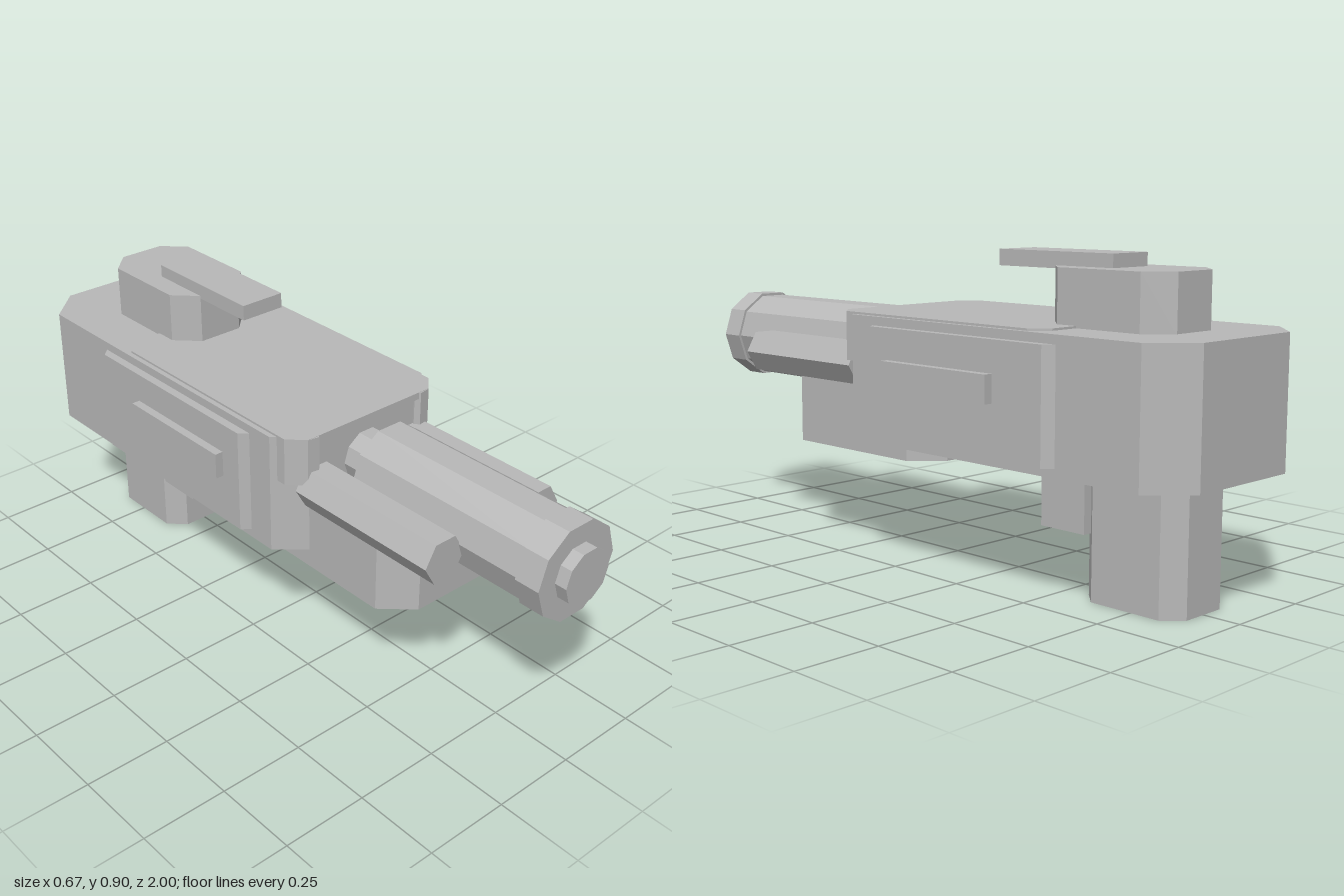
import * as THREE from 'three';

const grey = new THREE.MeshStandardMaterial({ color: 0xb8b8b8, flatShading: true });
grey.name = 'plain grey';

// upright prism from a plan outline of [x, z] points
function prism(name, points, y0, y1) {
  const shape = new THREE.Shape(points.map(([x, z]) => new THREE.Vector2(x, -z)));
  const geo = new THREE.ExtrudeGeometry(shape, { depth: y1 - y0, bevelEnabled: false });
  geo.rotateX(-Math.PI / 2).translate(0, y0, 0);
  const mesh = new THREE.Mesh(geo, grey);
  mesh.name = name;
  return mesh;
}

// symmetric prism whose corners are cut: w = half width, back/front = [z, half width of end, cut depth]
function slab(name, w, [zb, wb, cb], [zf, wf, cf], y0, y1) {
  const right = [[wb, zb], [w, zb + cb], [w, zf - cf], [wf, zf]];
  const left = right.map(([x, z]) => [-x, z]).reverse();
  return prism(name, [...right, ...left], y0, y1);
}

function box(name, x0, x1, y0, y1, z0, z1) {
  const mesh = new THREE.Mesh(new THREE.BoxGeometry(x1 - x0, y1 - y0, z1 - z0), grey);
  mesh.position.set((x0 + x1) / 2, (y0 + y1) / 2, (z0 + z1) / 2);
  mesh.name = name;
  return mesh;
}

// faceted tube along z with a flat facet on top
function tube(name, x, y, r, sides, z0, z1) {
  const geo = new THREE.CylinderGeometry(r, r, z1 - z0, sides);
  geo.rotateY(Math.PI / 2).rotateX(Math.PI / 2);
  const mesh = new THREE.Mesh(geo, grey);
  mesh.position.set(x, y, (z0 + z1) / 2);
  mesh.name = name;
  return mesh;
}

export function createModel() {
  const model = new THREE.Group();
  model.name = 'blaster';

  // housing and thin top cover
  model.add(
    slab('body', 0.285, [-1, 0.18, 0.1], [0.21, 0.2, 0.074], 0.355, 0.715),
    slab('topCover', 0.27, [-0.57, 0.225, 0.045], [0.225, 0.225, 0.045], 0.7, 0.721),
    slab('lowerBlock', 0.205, [-0.08, 0.12, 0.08], [0.555, 0.12, 0.08], 0.3, 0.5)
  );

  // handle, trigger block and rear sight
  model.add(
    slab('grip', 0.12, [-0.89, 0.07, 0.05], [-0.57, 0.07, 0.05], 0, 0.37),
    box('triggerBlock', -0.128, 0.128, 0.178, 0.37, -0.6, -0.45),
    slab('sightBase', 0.135, [-0.84, 0.07, 0.065], [-0.44, 0.07, 0.065], 0.71, 0.868),
    box('sightRail', -0.07, 0.07, 0.86, 0.905, -0.635, -0.235)
  );

  // main barrel
  model.add(
    tube('barrelCore', 0, 0.587, 0.08, 10, 0.18, 1),
    tube('barrel', 0, 0.587, 0.132, 10, 0.3, 0.9),
    tube('muzzleRing', 0, 0.587, 0.14, 10, 0.89, 0.965)
  );

  // paired side parts
  for (const s of [-1, 1]) {
    const side = new THREE.Group();
    side.name = s > 0 ? 'leftSide' : 'rightSide';
    const flip = (pts) => pts.map(([x, z]) => [s * x, z]);
    side.add(
      tube('sideBarrel', s * 0.18, 0.56, 0.068, 6, 0.2, 0.695),
      prism('sidePanel', flip([[0.27, -0.635], [0.285, -0.635], [0.31, -0.61], [0.31, 0.03], [0.285, 0.05], [0.27, 0.05]]), 0.38, 0.69),
      box('sideRib', s > 0 ? 0.3 : -0.335, s > 0 ? 0.335 : -0.3, 0.525, 0.602, -0.44, -0.04),
      prism('cornerGuard', flip([[0.19, 0.14], [0.27, 0.14], [0.27, 0.18], [0.225, 0.225], [0.19, 0.23], [0.18, 0.215]]), 0.58, 0.72)
    );
    model.add(side);
  }
  return model;
}
